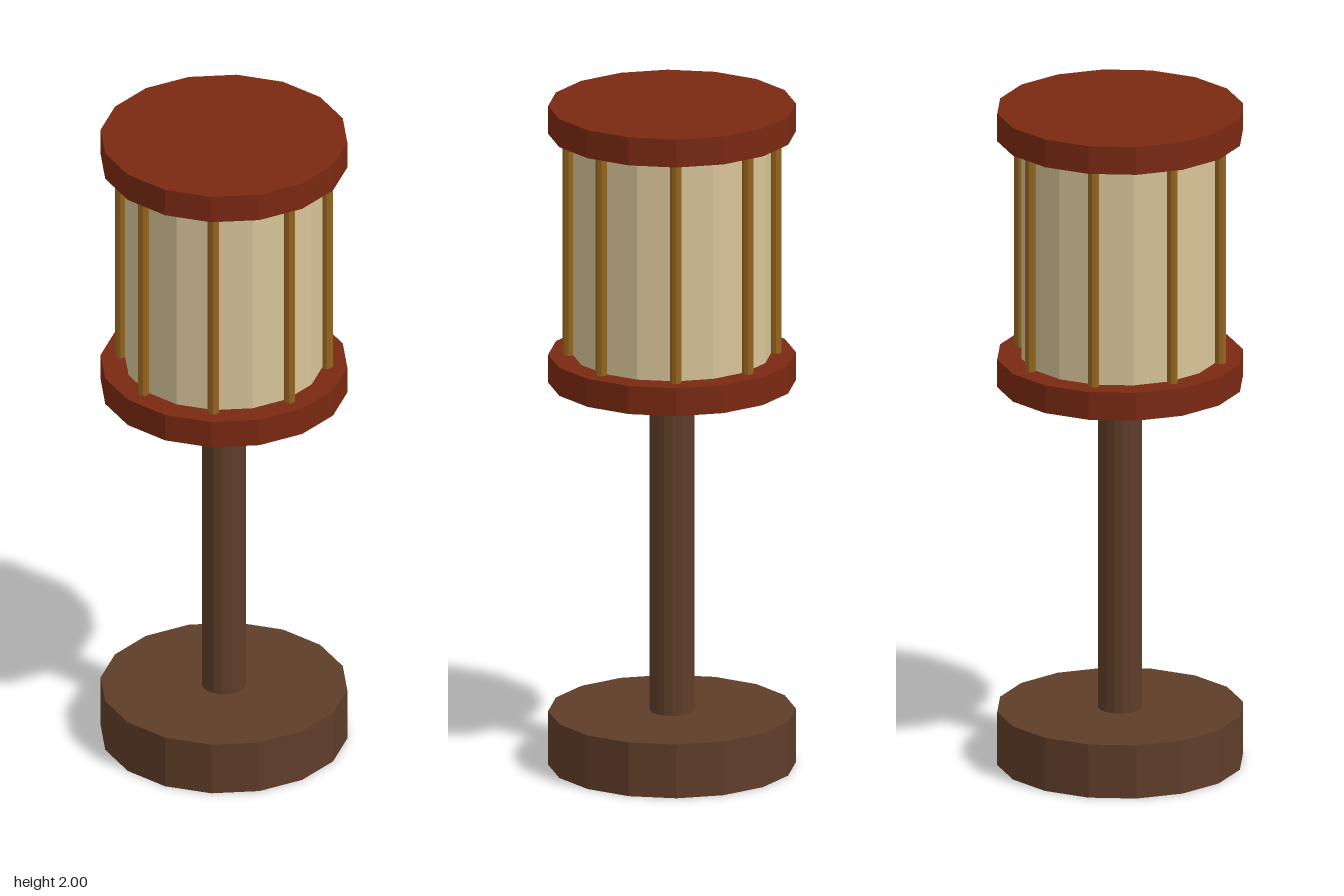
import * as THREE from 'three';

const material = (name, color) => {
  const m = new THREE.MeshStandardMaterial({ color, flatShading: true });
  m.name = name;
  return m;
};

export function createModel() {
  const model = new THREE.Group();
  model.name = 'lantern';

  const darkWood = material('dark wood', 0x5f3d29);
  const redLacquer = material('red lacquer', 0x7a2912);
  const paper = material('paper', 0xd8c498);
  const bamboo = material('bamboo', 0x96651f);

  // Upright cylinder spanning y0 to y1
  const column = (name, mat, radius, y0, y1, sides, x = 0, z = 0) => {
    const mesh = new THREE.Mesh(new THREE.CylinderGeometry(radius, radius, y1 - y0, sides), mat);
    mesh.position.set(x, (y0 + y1) / 2, z);
    mesh.name = name;
    model.add(mesh);
  };

  // Stand
  column('base', darkWood, 0.361, 0, 0.163, 16);
  column('post', darkWood, 0.065, 0.163, 1.16, 16);

  // Lantern body between two lacquered discs
  column('lowerDisc', redLacquer, 0.361, 1.16, 1.245, 16);
  column('paperShade', paper, 0.29, 1.245, 1.915, 16);
  column('upperDisc', redLacquer, 0.361, 1.915, 2, 16);

  // Eight ribs around the shade
  for (let i = 0; i < 8; i++) {
    const a = (i * Math.PI) / 4;
    column('rib' + (i + 1), bamboo, 0.0165, 1.245, 1.915, 8, 0.302 * Math.sin(a), 0.302 * Math.cos(a));
  }

  return model;
}
